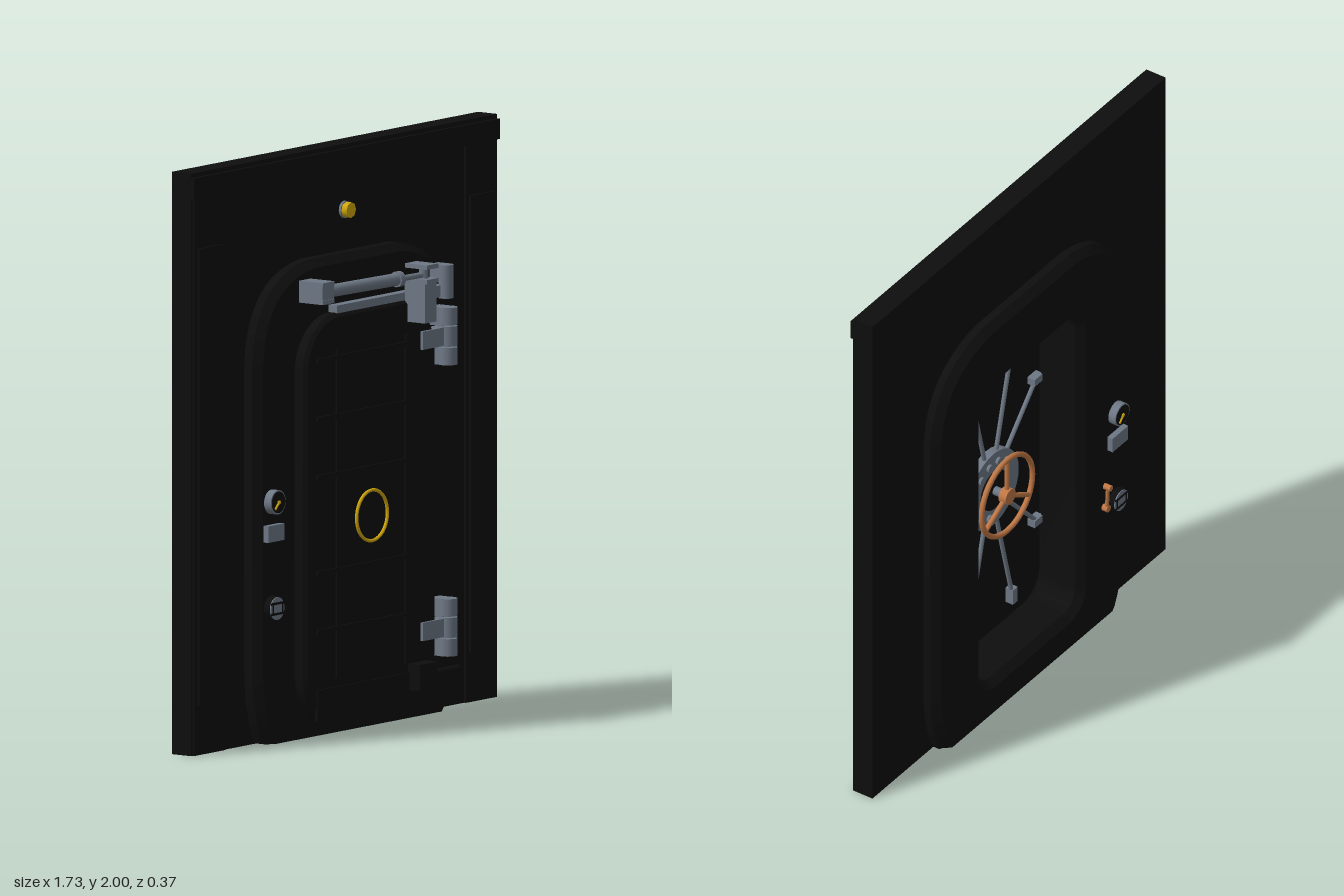
import * as THREE from 'three';
import { toCreasedNormals } from 'three/addons/utils/BufferGeometryUtils.js';

const mat = (name, color) => {
  const m = new THREE.MeshStandardMaterial({ color });
  m.name = name;
  return m;
};

// Rounded rectangle outline
function roundRect(P, x0, x1, y0, y1, r) {
  const s = new P();
  s.moveTo(x0 + r, y0);
  s.lineTo(x1 - r, y0);
  s.absarc(x1 - r, y0 + r, r, -Math.PI / 2, 0);
  s.lineTo(x1, y1 - r);
  s.absarc(x1 - r, y1 - r, r, 0, Math.PI / 2);
  s.lineTo(x0 + r, y1);
  s.absarc(x0 + r, y1 - r, r, Math.PI / 2, Math.PI);
  s.lineTo(x0, y0 + r);
  s.absarc(x0 + r, y0 + r, r, Math.PI, Math.PI * 1.5);
  return s;
}

// Bevelled slab between z0 and z1, cut flat at the floor
function slab(shape, z0, z1, b) {
  const g = new THREE.ExtrudeGeometry(shape, {
    depth: z1 - z0 - 2 * b, bevelEnabled: b > 0, bevelSize: b, bevelThickness: b,
    bevelOffset: -b, bevelSegments: 1, curveSegments: 10,
  });
  g.translate(0, 0, z0 + b);
  const p = g.attributes.position;
  for (let i = 0; i < p.count; i++) p.setY(i, Math.max(0, p.getY(i)));
  g.computeVertexNormals();
  return toCreasedNormals(g, 0.5);
}

export function createModel() {
  const root = new THREE.Group();
  root.name = 'bulkheadDoor';
  const black = mat('black paint', 0x0e0e0e);
  const steel = mat('grey steel', 0x6e7885);
  const yellow = mat('yellow', 0xd2a80c);
  const copper = mat('copper', 0xbf7745);

  const add = (name, geo, m, parent = root) => {
    const o = new THREE.Mesh(geo, m);
    o.name = name;
    parent.add(o);
    return o;
  };
  const box = (name, m, x0, x1, y0, y1, z0, z1, parent) => {
    const o = add(name, new THREE.BoxGeometry(x1 - x0, y1 - y0, z1 - z0), m, parent);
    o.position.set((x0 + x1) / 2, (y0 + y1) / 2, (z0 + z1) / 2);
    return o;
  };
  const rod = (name, m, a, b, r, parent, sides = 16) => {
    const A = new THREE.Vector3(...a), B = new THREE.Vector3(...b), d = B.clone().sub(A);
    const o = add(name, new THREE.CylinderGeometry(r, r, d.length(), sides), m, parent);
    o.position.copy(A).add(B).multiplyScalar(0.5);
    o.quaternion.setFromUnitVectors(new THREE.Vector3(0, 1, 0), d.normalize());
    return o;
  };

  // Wall panel with trim
  const wall = new THREE.Shape([[-0.865, 0], [0.865, 0], [0.865, 2], [-0.865, 2]].map(p => new THREE.Vector2(...p)));
  wall.holes.push(roundRect(THREE.Path, -0.33, 0.33, 0.09, 1.42, 0.1));
  add('wall', slab(wall, -0.095, -0.015, 0), black);
  box('topBeam', black, -0.865, 0.865, 1.915, 1.985, -0.02, -0.003);
  for (const s of [-1, 1]) {
    const x = s * 0.768;
    box('sideColumn', black, x - 0.088, x + 0.088, 0, 1.915, -0.02, -0.008);
    box('sidePanel', black, x - 0.07, x + 0.07, 0.17, 1.74, -0.02, 0);
  }

  // Heavy frame around the opening
  const frame = new THREE.Shape();
  frame.moveTo(-0.48, -0.05);
  frame.lineTo(0.48, -0.05);
  frame.quadraticCurveTo(0.565, 0.08, 0.565, 0.28);
  frame.lineTo(0.565, 1.3);
  frame.quadraticCurveTo(0.55, 1.6, 0.25, 1.635);
  frame.lineTo(-0.25, 1.635);
  frame.quadraticCurveTo(-0.55, 1.6, -0.565, 1.3);
  frame.lineTo(-0.565, 0.28);
  frame.quadraticCurveTo(-0.565, 0.08, -0.48, -0.05);
  frame.holes.push(roundRect(THREE.Path, -0.29, 0.29, 0.13, 1.37, 0.07));
  add('frame', slab(frame, -0.15, 0.045, 0.027), black);

  // Door leaf with ribs
  const door = new THREE.Group();
  door.name = 'door';
  root.add(door);
  add('doorLeaf', slab(roundRect(THREE.Shape, -0.37, 0.37, 0.04, 1.45, 0.19), 0.043, 0.1, 0.012), black, door);
  for (const x of [-0.19, 0.2]) box('verticalRib', black, x - 0.01, x + 0.01, 0.2, 1.33, 0.095, 0.105, door);
  for (const y of [0.37, 0.57, 0.9, 1.1, 1.3]) box('crossRib', black, -0.31, 0.22, y - 0.008, y + 0.008, 0.095, 0.107, door);
  box('kickPlate', black, -0.31, 0.22, 0.06, 0.17, 0.095, 0.106, door);
  box('motorBox', black, 0.21, 0.31, 0.11, 0.2, 0.095, 0.15, door);
  rod('motorShaft', black, [0.31, 0.15, 0.1], [0.49, 0.15, 0.1], 0.014, door);
  const ring = add('yellowRing', new THREE.TorusGeometry(0.087, 0.006, 8, 40), yellow, door);
  ring.position.set(0, 0.735, 0.104);

  // Hinges
  for (const y of [0.3, 1.3]) {
    const h = new THREE.Group();
    h.name = 'hinge';
    h.position.y = y;
    root.add(h);
    box('hingeArm', steel, 0.28, 0.43, -0.03, 0.033, 0.06, 0.11, h);
    box('hingeBase', steel, 0.4, 0.46, -0.097, -0.037, 0.044, 0.1, h);
    box('hingeBase', steel, 0.4, 0.46, 0.037, 0.1, 0.044, 0.1, h);
    for (const [a, b] of [[-0.097, -0.037], [-0.033, 0.036], [0.04, 0.1]])
      rod('hingeKnuckle', steel, [0.43, a, 0.103], [0.43, b, 0.103], 0.033, h, 20);
  }

  // Door opener: swing arm, ram and brackets
  const opener = new THREE.Group();
  opener.name = 'doorOpener';
  root.add(opener);
  box('swingArm', steel, -0.18, 0.43, 1.435, 1.475, 0.055, 0.09, opener);
  rod('armPivot', steel, [0.43, 1.43, 0.095], [0.43, 1.545, 0.095], 0.026, opener);
  box('pivotMount', steel, 0.405, 0.455, 1.49, 1.545, 0.044, 0.09, opener);
  box('ramBase', steel, -0.335, -0.27, 1.515, 1.56, 0.044, 0.145, opener);
  for (const y of [1.5, 1.56]) box('ramBaseFork', steel, -0.335, -0.27, y, y + 0.015, 0.044, 0.148, opener);
  rod('ramCylinder', steel, [-0.27, 1.537, 0.118], [0.1, 1.537, 0.138], 0.022, opener);
  rod('ramCollar', steel, [0.09, 1.537, 0.1375], [0.112, 1.537, 0.1387], 0.027, opener);
  rod('ramRod', steel, [0.1, 1.537, 0.138], [0.24, 1.537, 0.145], 0.01, opener);
  box('armBlock', steel, 0.205, 0.27, 1.375, 1.515, 0.088, 0.175, opener);
  for (const y of [1.51, 1.56]) box('armFork', steel, 0.205, 0.27, y, y + 0.015, 0.09, 0.183, opener);
  rod('forkPin', steel, [0.238, 1.5, 0.145], [0.238, 1.575, 0.145], 0.016, opener);

  // Lamp over the door
  rod('lampBase', steel, [0, 1.775, -0.02], [0, 1.775, -0.006], 0.03, root, 16);
  rod('lamp', yellow, [0, 1.775, -0.01], [0, 1.775, 0.016], 0.027, root, 8);

  // Instruments, repeated on both sides of the frame
  for (const back of [false, true]) {
    const g = new THREE.Group();
    g.name = back ? 'backInstruments' : 'frontInstruments';
    g.position.set(-0.49, 0, back ? -0.149 : 0.044);
    if (back) g.rotation.y = Math.PI;
    root.add(g);
    rod('gaugeBody', steel, [0, 0.835, 0], [0, 0.835, 0.03], 0.042, g, 28);
    rod('gaugeFace', black, [0, 0.835, 0.028], [0, 0.835, 0.032], 0.037, g, 28);
    rod('gaugeNeedle', yellow, [-0.022, 0.813, 0.034], [0.004, 0.839, 0.034], 0.004, g, 6);
    rod('needleHub', yellow, [0, 0.835, 0.031], [0, 0.835, 0.036], 0.007, g, 10);
    box('switchBox', steel, -0.046, 0.046, 0.7, 0.757, 0, 0.022, g);
    rod('speakerBody', black, [0, 0.47, 0], [0, 0.47, 0.023], 0.042, g, 28);
    rod('speakerFace', steel, [0, 0.47, 0.022], [0, 0.47, 0.027], 0.039, g, 28);
    for (const y of [0.452, 0.488]) box('speakerSlot', black, -0.036, 0.036, y - 0.004, y + 0.004, 0.025, 0.029, g);
    for (const x of [-0.027, 0.027]) box('speakerSlot', black, x - 0.003, x + 0.003, 0.456, 0.484, 0.025, 0.029, g);
  }

  // Lever on the back
  const lever = new THREE.Group();
  lever.name = 'lever';
  root.add(lever);
  rod('leverShaft', copper, [-0.42, 0.475, -0.145], [-0.42, 0.475, -0.172], 0.013, lever);
  rod('leverRod', copper, [-0.42, 0.475, -0.164], [-0.415, 0.57, -0.172], 0.007, lever);
  rod('leverGrip', copper, [-0.415, 0.57, -0.158], [-0.415, 0.57, -0.186], 0.011, lever);

  // Locking mechanism: hub plate, rods and hand wheel
  const lock = new THREE.Group();
  lock.name = 'lockMechanism';
  lock.position.y = 0.735;
  root.add(lock);
  rod('hubPlate', steel, [0, 0, 0.044], [0, 0, 0.012], 0.15, lock, 32);
  rod('hubDisc', black, [0, 0, 0.02], [0, 0, 0.004], 0.075, lock, 24);
  for (const sx of [-1, 1]) for (const sy of [-1, 1]) for (const [x, y] of [[0.13, 0.53], [0.27, 0.3]]) {
    const k = 0.11 / Math.hypot(x, y);
    rod('lockRod', steel, [sx * x * k, sy * y * k, 0.025], [sx * x, sy * y, 0.025], 0.008, lock, 10);
    rod('rodJoint', steel, [sx * x * k, sy * y * k, 0.03], [sx * x * k, sy * y * k, 0.002], 0.015, lock, 12);
    const guide = x < 0.2 ? [0.014, 0.03] : [0.025, 0.014];
    box('rodGuide', steel, sx * x - guide[0], sx * x + guide[0], sy * y - guide[1], sy * y + guide[1], 0.012, 0.044, lock);
  }
  const wheel = new THREE.Group();
  wheel.name = 'handWheel';
  wheel.position.z = -0.045;
  lock.add(wheel);
  add('wheelRim', new THREE.TorusGeometry(0.15, 0.01, 10, 40), copper, wheel);
  for (let i = 0; i < 3; i++) {
    const a = Math.PI / 2 + (i * Math.PI * 2) / 3;
    rod('wheelSpoke', copper, [0, 0, 0], [0.15 * Math.cos(a), 0.15 * Math.sin(a), 0], 0.009, wheel, 10);
  }
  rod('wheelHub', copper, [0, 0, -0.015], [0, 0, 0.015], 0.03, wheel, 20);
  rod('wheelShaft', steel, [0, 0, 0], [0, 0, 0.06], 0.016, wheel);

  return root;
}
